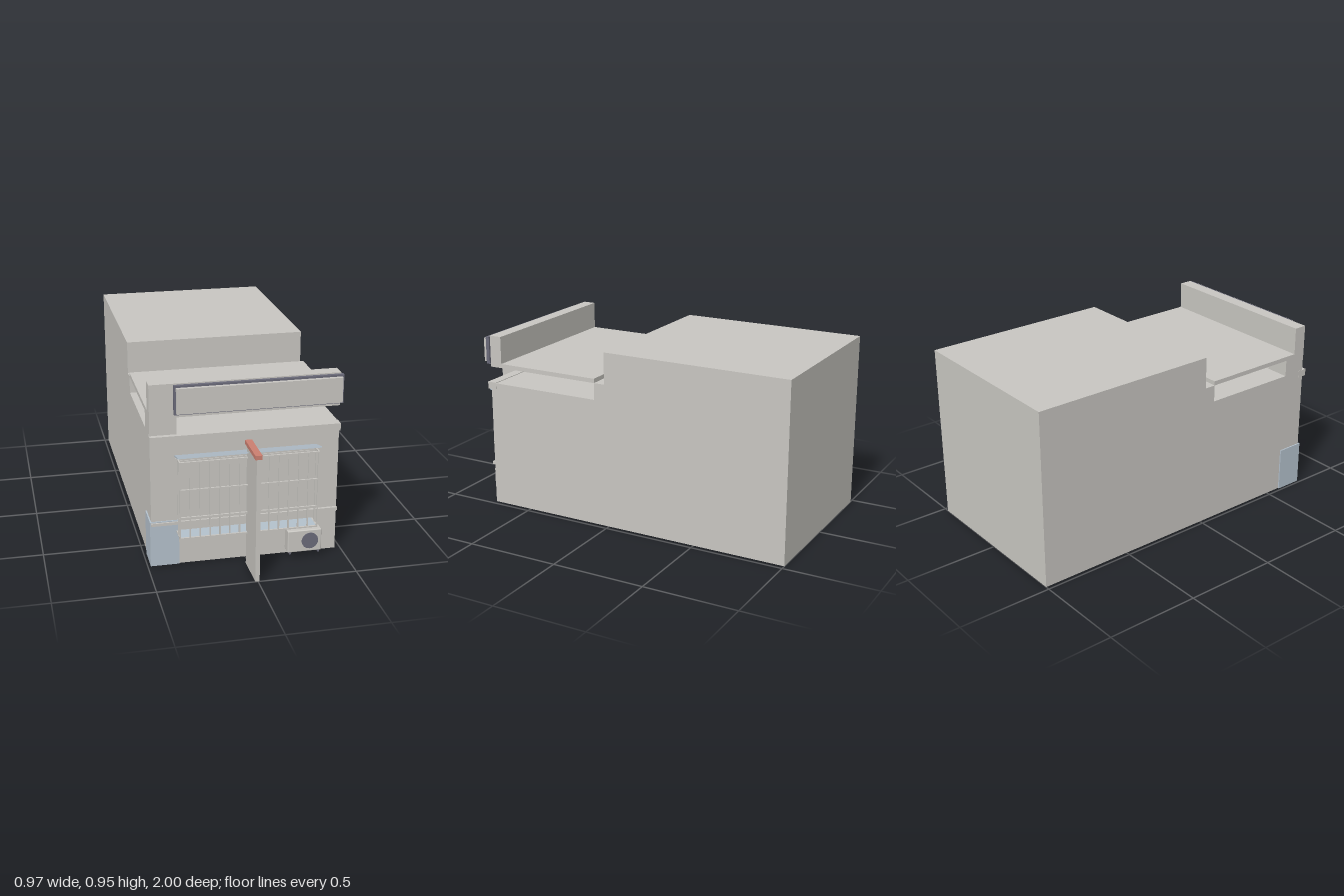
import * as THREE from 'three';
import { RoundedBoxGeometry } from 'three/addons/geometries/RoundedBoxGeometry.js';

function mat(name, color) {
  const m = new THREE.MeshStandardMaterial({ color });
  m.name = name;
  return m;
}

export function createModel() {
  const root = new THREE.Group();
  root.name = 'shopHouse';
  const grey = mat('concreteGrey', 0xc8c6c1);
  const blue = mat('paleBlue', 0xb4c1cc);
  const red = mat('brickRed', 0xcb7f70);
  const dark = mat('slate', 0x6a6a79);
  const yellow = mat('warmYellow', 0xdbb26c);

  const add = (name, geometry, material, parent = root) => {
    const mesh = new THREE.Mesh(geometry, material);
    mesh.name = name;
    parent.add(mesh);
    return mesh;
  };
  // Box given by its low and high limits on each axis
  const box = (name, material, x0, x1, y0, y1, z0, z1, parent = root) => {
    const mesh = add(name, new THREE.BoxGeometry(x1 - x0, y1 - y0, z1 - z0), material, parent);
    mesh.position.set((x0 + x1) / 2, (y0 + y1) / 2, (z0 + z1) / 2);
    return mesh;
  };

  // Stepped building: side profile in (z, y), extruded across x
  const profile = new THREE.Shape([
    [-1, 0], [0.73, 0], [0.73, 0.69], [0.08, 0.69],
    [0.08, 0.78], [0.02, 0.78], [0.02, 0.95], [-1, 0.95],
  ].map(([z, y]) => new THREE.Vector2(z, y)));
  const bodyGeo = new THREE.ExtrudeGeometry(profile, { depth: 0.95, bevelEnabled: false });
  bodyGeo.rotateY(-Math.PI / 2).translate(0.472, 0, 0);
  add('building', bodyGeo, grey);

  // Front canopy, its corner post, parapet and lamps
  box('canopyRoof', grey, -0.478, 0.472, 0.78, 0.803, 0.08, 0.67);
  box('cornerPost', grey, -0.478, -0.345, 0.69, 0.785, 0.6, 0.728);
  box('parapet', grey, -0.478, 0.472, 0.78, 0.951, 0.66, 0.73);
  for (const x of [-0.272, 0.116]) box('ceilingLamp', yellow, x, x + 0.192, 0.77, 0.781, 0.39, 0.43);

  // Sign board with a slate surround
  box('signSurround', dark, -0.36, 0.482, 0.797, 0.945, 0.728, 0.748);
  box('signPanel', grey, -0.35, 0.472, 0.807, 0.935, 0.745, 0.768);

  // Wall trims and tiled corner
  box('cornice', grey, -0.48, 0.473, 0.655, 0.693, 0.7, 0.752);
  box('sillBand', grey, -0.48, 0.473, 0.22, 0.235, 0.72, 0.745);
  box('cornerTiles', blue, -0.485, -0.34, 0, 0.24, 0.59, 0.737);
  box('windowPane', grey, -0.33, 0.322, 0.235, 0.555, 0.727, 0.734);

  // Window cage: front bars, rails, and side returns to the wall
  const cage = new THREE.Group();
  cage.name = 'windowCage';
  root.add(cage);
  const L = -0.349, R = 0.344, zFront = 0.82, t = 0.0035;
  for (let i = 0; i < 15; i++) {
    const x = L + (R - L) * i / 14;
    box('frontBar', grey, x - t, x + t, 0.178, 0.58, zFront - t, zFront + t, cage);
  }
  for (const y of [0.18, 0.29, 0.436, 0.58]) {
    box('frontRail', grey, L - t, R + t, y - t, y + t, zFront - t, zFront + 0.006, cage);
  }
  for (const x of [L, R]) {
    for (const y of [0.18, 0.58]) box('sideRail', grey, x - t, x + t, y - t, y + t, 0.728, zFront, cage);
    box('sideBar', grey, x - t, x + t, 0.18, 0.58, 0.778 - t, 0.778 + t, cage);
  }
  box('cageFloor', blue, L, R, 0.178, 0.183, 0.73, zFront, cage);

  // Thin awning rising away from the wall
  const awning = box('awning', blue, -0.36, 0.354, -0.003, 0.003, -0.05, 0.05);
  awning.position.set(-0.003, 0.597, 0.785);
  awning.rotation.x = -0.25;
  box('awningRail', grey, -0.355, 0.35, 0.562, 0.568, 0.728, 0.738);

  // Dividing fin wall with coping
  box('finWall', grey, -0.014, 0.008, 0, 0.641, 0.8, 0.998);
  box('finCoping', red, -0.021, 0.013, 0.64, 0.661, 0.79, 1);

  // Air conditioner
  const unit = new THREE.Group();
  unit.name = 'airConditioner';
  root.add(unit);
  add('casing', new RoundedBoxGeometry(0.175, 0.118, 0.06, 2, 0.005), grey, unit).position.set(0.288, 0.095, 0.778);
  const fan = add('fan', new THREE.CylinderGeometry(0.043, 0.043, 0.006, 24), dark, unit);
  fan.rotation.x = Math.PI / 2;
  fan.position.set(0.315, 0.095, 0.808);
  for (const x of [0.214, 0.362]) box('foot', dark, x - 0.004, x + 0.004, 0.025, 0.038, 0.728, 0.805, unit);
  box('pipe', dark, 0.284, 0.292, 0.085, 0.093, 0.728, 0.752, unit);

  return root;
}
